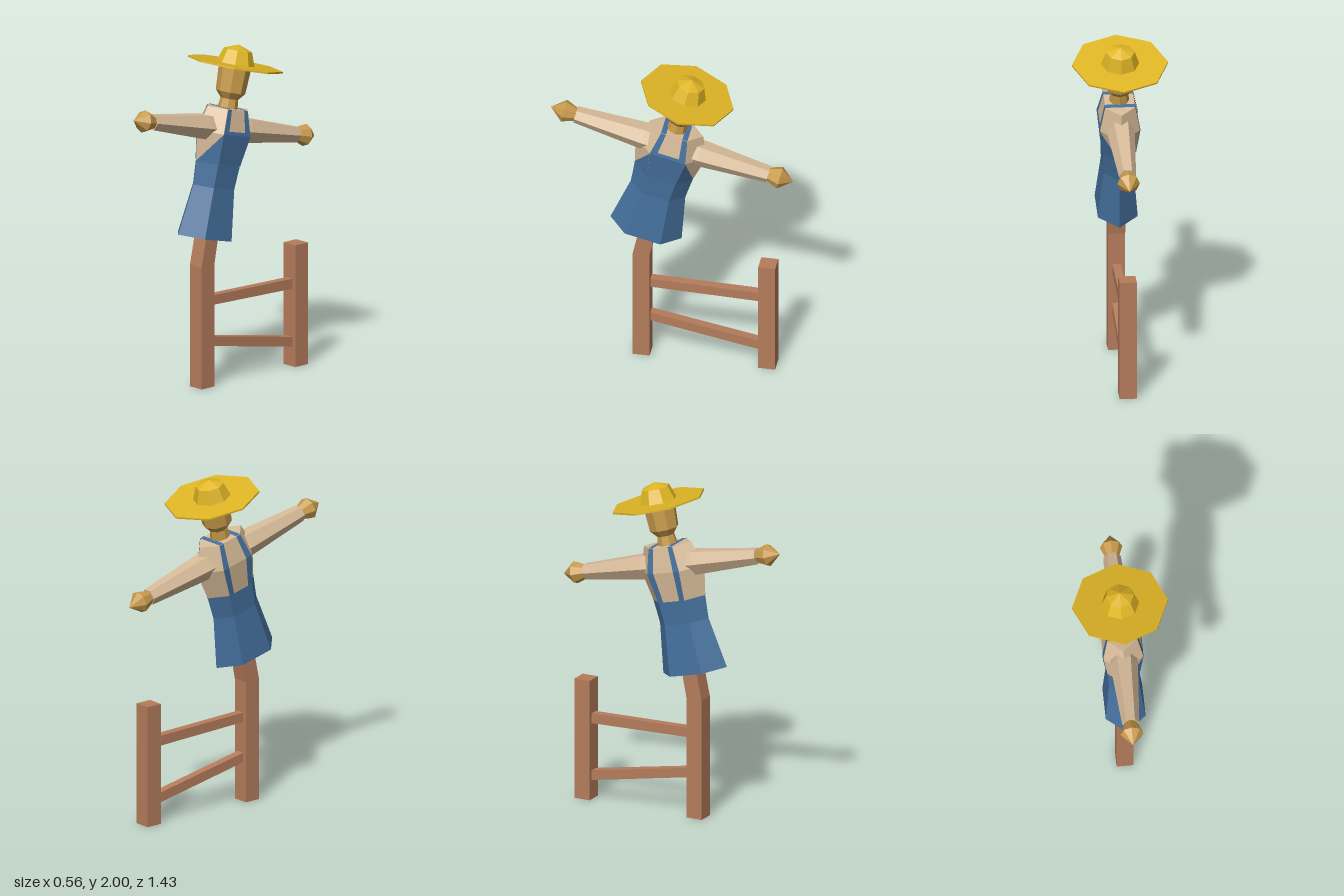
import * as THREE from 'three';

const mat = (color) => new THREE.MeshStandardMaterial({ color, flatShading: true, side: THREE.DoubleSide });

export function createModel() {
  const model = new THREE.Group();
  const wood = mat(0xb57c5c), denim = mat(0x446f9c), cloth = mat(0xd6ba98);
  const sack = mat(0xc79a4b), straw = mat(0xdfb524);

  const add = (parent, name, geometry, material) => {
    const mesh = new THREE.Mesh(geometry, material);
    mesh.name = name;
    parent.add(mesh);
    return mesh;
  };
  // Turned form from [radius, height] pairs, first corner towards +z
  const turned = (profile, sides) =>
    new THREE.LatheGeometry(profile.map(([r, y]) => new THREE.Vector2(r, y)), sides);
  // Plank cut from a [z, y] outline, centred on x
  const plank = (outline, width) => {
    const shape = new THREE.Shape(outline.map(([z, y]) => new THREE.Vector2(z, y)));
    return new THREE.ExtrudeGeometry(shape, { depth: width, bevelEnabled: false })
      .translate(0, 0, -width / 2).rotateY(-Math.PI / 2);
  };

  // Fence: bent front post, back post and two rungs
  add(model, 'frontPost', plank([[0.13, 0], [0.23, 0], [0.23, 0.73], [0.13, 1.2], [0.04, 1.2], [0.13, 0.73]], 0.1), wood);
  add(model, 'backPost', plank([[-0.61, 0], [-0.51, 0], [-0.51, 0.73], [-0.61, 0.73]], 0.1), wood);
  add(model, 'upperRung', plank([[0.14, 0.483], [0.14, 0.54], [-0.52, 0.525], [-0.52, 0.465]], 0.05), wood);
  add(model, 'lowerRung', plank([[0.14, 0.24], [0.14, 0.297], [-0.52, 0.175], [-0.52, 0.115]], 0.05), wood);

  // Leaning figure
  const figure = new THREE.Group();
  figure.name = 'figure';
  figure.position.set(0, 0.893, 0.16);
  figure.rotation.x = -0.24;
  model.add(figure);

  // Flattened six-sided torso: open skirt below, shirt above
  const flat = 0.62;
  const rings = [[0.216, 0], [0.165, 0.3], [0.176, 0.44], [0.215, 0.62], [0.16, 0.765]];
  add(figure, 'overallSkirt', turned(rings.slice(0, 3), 6), denim).scale.x = flat;
  add(figure, 'shirt', turned([...rings.slice(2), [0, 0.765]], 6), cloth).scale.x = flat;

  // Overall panels lie just outside the shirt
  const radiusAt = (y) => {
    const i = Math.max(1, rings.findIndex((r) => r[1] >= y));
    const [r0, y0] = rings[i - 1], [r1, y1] = rings[i];
    return r0 + (r1 - r0) * (y - y0) / (y1 - y0);
  };
  const onFace = (side, y, f) => {
    const r = radiusAt(y);
    return [side * (0.866 * r * flat + 0.003), y, 0.5 * r * f];
  };
  const panel = (name, corners) => {
    const geometry = new THREE.BufferGeometry();
    geometry.setAttribute('position', new THREE.Float32BufferAttribute(corners.flat(), 3));
    geometry.setIndex(corners.length === 4 ? [0, 1, 2, 0, 2, 3] : [0, 1, 2]);
    geometry.computeVertexNormals();
    add(figure, name, geometry, denim);
  };
  const strip = (name, side, y0, y1, f0, f1) => panel(name,
    [onFace(side, y0, f0), onFace(side, y0, f1), onFace(side, y1, f1), onFace(side, y1, f0)]);

  strip('bib', 1, 0.44, 0.62, -1, 1);
  strip('bibTop', 1, 0.62, 0.64, -1, 1);
  for (const s of [1, -1]) {
    panel('bibSide', [[0, 0.44, s * (radiusAt(0.44) + 0.003)], onFace(1, 0.44, s), onFace(1, 0.62, s * 1.01)]);
    strip('frontStrap', 1, 0.62, 0.765, s, s * 0.62);
    strip('backStrapUpper', -1, 0.62, 0.765, s, s * 0.62);
    strip('backStrapLower', -1, 0.44, 0.62, s, s * 0.62);
    panel('shoulderStrap', [[1, 1], [1, 0.62], [-1, 0.62], [-1, 1]].map(([side, f]) => {
      const [x, y, z] = onFace(side, 0.765, s * f);
      return [x, y + 0.003, z];
    }));
  }

  // Outstretched arms with pointed hands
  for (const s of [1, -1]) {
    const arm = new THREE.Group();
    arm.name = s > 0 ? 'frontArm' : 'backArm';
    arm.position.y = 0.643;
    arm.rotation.y = s > 0 ? 0 : Math.PI;
    figure.add(arm);
    add(arm, 'sleeve', turned([[0.08, 0.1], [0.08, 0.17], [0.05, 0.585], [0, 0.585]], 6)
      .rotateY(Math.PI / 6).rotateX(Math.PI / 2), cloth);
    add(arm, 'hand', turned([[0.035, 0.57], [0.066, 0.655], [0, 0.735]], 8).rotateX(Math.PI / 2), sack);
  }

  // Head and straw hat
  add(figure, 'head', turned([[0.06, 0.75], [0.052, 0.82], [0.087, 0.86], [0.096, 1.02], [0, 1.02]], 8), sack);
  add(figure, 'hatBrim', new THREE.CylinderGeometry(0.28, 0.28, 0.01, 8).translate(0, 1.021, 0), straw);
  add(figure, 'hatCrown', turned([[0.112, 1.024], [0.083, 1.107], [0, 1.138]], 8), straw);

  return model;
}
